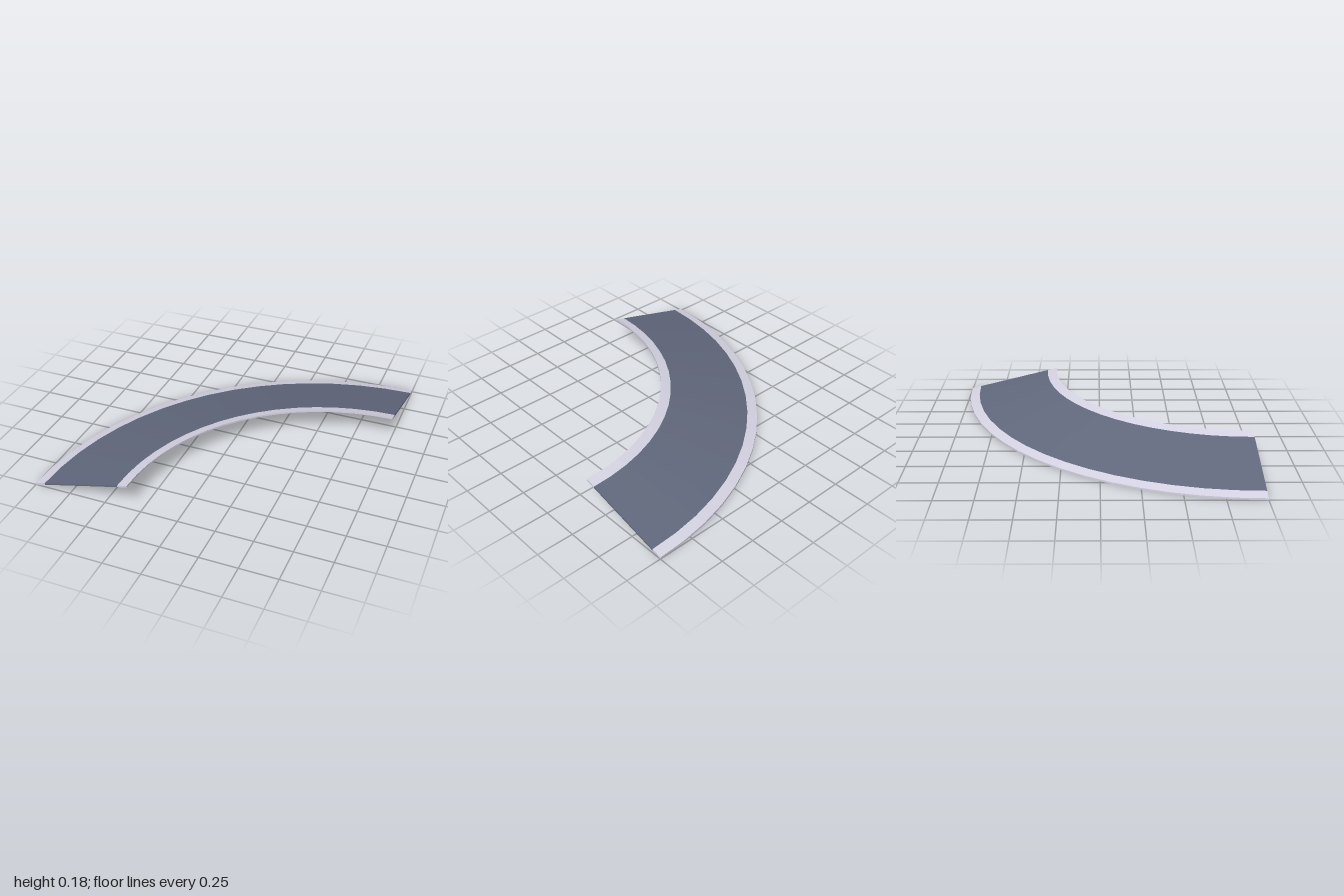
import * as THREE from 'three';

const mat = (name, color) => new THREE.MeshStandardMaterial({ name, color, flatShading: true });

export function createModel() {
  const road = mat('slateBlue', 0x62697d);
  const border = mat('paleLilac', 0xd6d4e4);

  const model = new THREE.Group();
  model.name = 'bankedCurve';
  const track = new THREE.Group();
  track.name = 'track';
  track.position.set(1, 0, 1); // centre of the quarter turn
  model.add(track);

  // The bank falls from the inner radius to the outer radius
  const inner = 4 / 3, outer = 2, thick = 0.012, rise = 0.167;
  const under = r => rise * (outer - r) / (outer - inner);
  const top = r => under(r) + thick;
  const P = (r, y) => new THREE.Vector2(r, y);

  const add = (name, geometry, material) => {
    const mesh = new THREE.Mesh(geometry, material);
    mesh.name = name;
    track.add(mesh);
    return mesh;
  };
  // Sweep one line of the cross-section through the turn
  const sweep = (name, a, b, material) =>
    add(name, new THREE.LatheGeometry([a, b], 16, Math.PI, Math.PI / 2), material);

  // Slice of an end face between two radii; side -1 lies along -x
  const endFace = (side, r0, r1) => new THREE.ShapeGeometry(new THREE.Shape([
    P(side * r0, under(r0)), P(side * r1, under(r1)),
    P(side * r1, top(r1)), P(side * r0, top(r0)),
  ]));

  // Road and borders, each with its slices of the two ends
  const bands = [
    ['innerBorder', inner, inner + 0.068, border],
    ['road', inner + 0.068, outer - 0.068, road],
    ['outerBorder', outer - 0.068, outer, border],
  ];
  for (const [name, r0, r1, material] of bands) {
    sweep(name + 'Top', P(r1, top(r1)), P(r0, top(r0)), material);
    add(name + 'FrontEnd', endFace(-1, r0, r1), material);
    add(name + 'SideEnd', endFace(1, r0, r1), material).rotation.y = Math.PI / 2;
  }

  // Edges and underside
  sweep('outerEdge', P(outer, under(outer)), P(outer, top(outer)), border);
  sweep('innerEdge', P(inner, top(inner)), P(inner, under(inner)), border);
  sweep('underside', P(inner, under(inner)), P(outer, under(outer)), border);

  return model;
}
